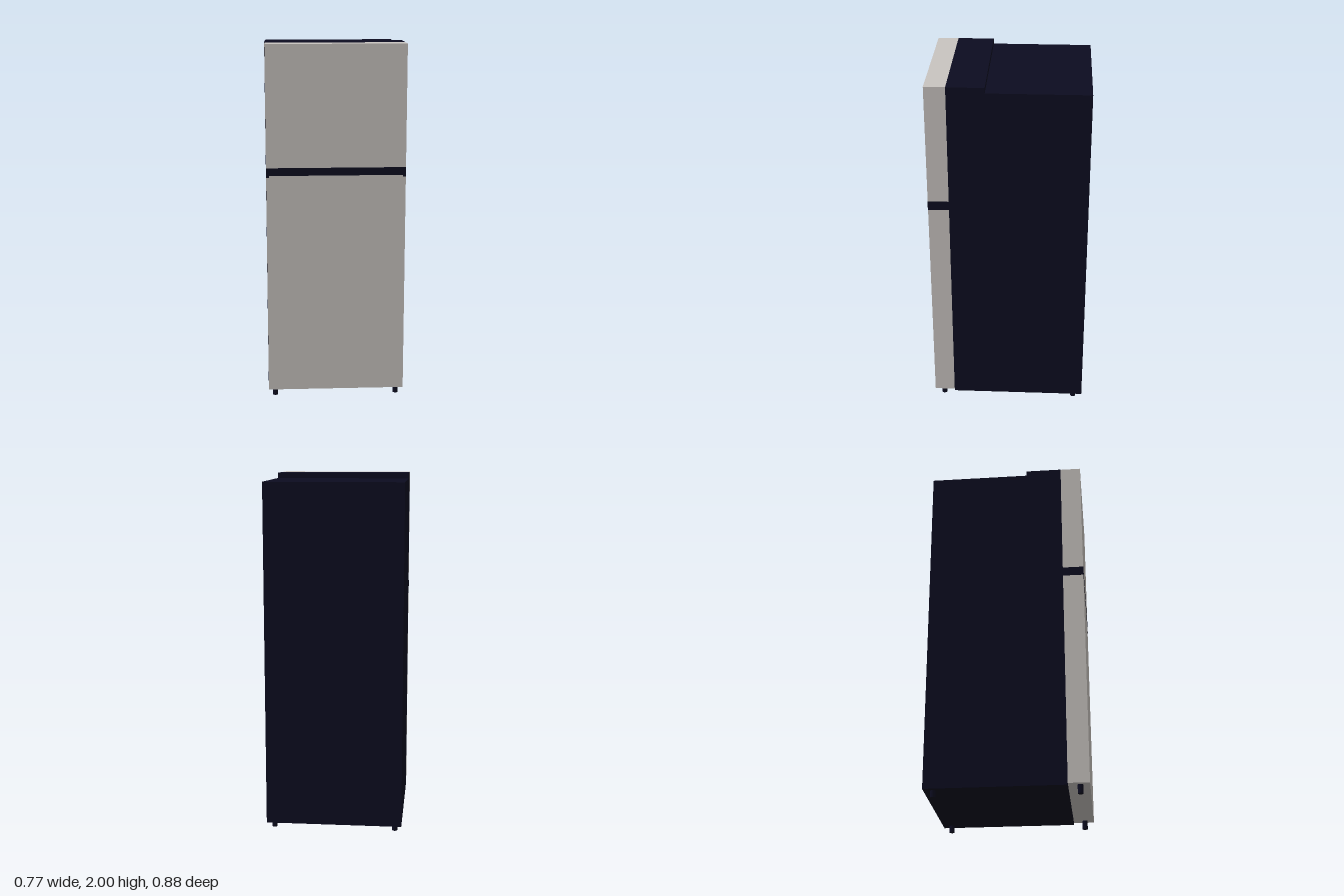
import * as THREE from 'three';

export function createModel() {
  const model = new THREE.Group();
  model.name = 'refrigerator';
  const steel = new THREE.MeshStandardMaterial({ color: 0xc9c4c0 });
  steel.name = 'warm grey door';
  const dark = new THREE.MeshStandardMaterial({ color: 0x0c0c20 });
  dark.name = 'midnight cabinet';

  // Box given by its lower and upper limits on each axis
  const box = (name, mat, [x0, x1], [y0, y1], [z0, z1]) => {
    const mesh = new THREE.Mesh(new THREE.BoxGeometry(x1 - x0, y1 - y0, z1 - z0), mat);
    mesh.position.set((x0 + x1) / 2, (y0 + y1) / 2, (z0 + z1) / 2);
    mesh.name = name;
    model.add(mesh);
  };

  // Cabinet and the raised hinge cover along its top front edge
  box('cabinet', dark, [-0.385, 0.385], [0.038, 1.97], [-0.441, 0.325]);
  box('hingeCover', dark, [-0.385, 0.385], [1.97, 2], [0.12, 0.325]);

  // Doors; the lower one has a slim lip below the handle band
  box('freezerDoor', steel, [-0.383, 0.383], [1.33, 2], [0.325, 0.441]);
  box('fridgeDoor', steel, [-0.383, 0.383], [0.048, 1.278], [0.325, 0.441]);
  box('doorLip', steel, [-0.368, 0.368], [1.278, 1.287], [0.42, 0.441]);

  // Dark handle band between the doors, with end caps reaching a little lower
  box('handleBand', dark, [-0.384, 0.384], [1.287, 1.33], [0.325, 0.442]);
  for (const side of [-1, 1]) {
    const xs = [side * 0.368, side * 0.384].sort((a, b) => a - b);
    box('handleEndCap', dark, xs, [1.278, 1.287], [0.325, 0.442]);
  }

  // Four round feet
  const footGeometry = new THREE.CylinderGeometry(0.015, 0.015, 0.05, 20);
  for (const x of [-0.346, 0.346]) {
    for (const z of [-0.39, 0.39]) {
      const foot = new THREE.Mesh(footGeometry, dark);
      foot.position.set(x, 0.025, z);
      foot.name = 'foot';
      model.add(foot);
    }
  }
  return model;
}
